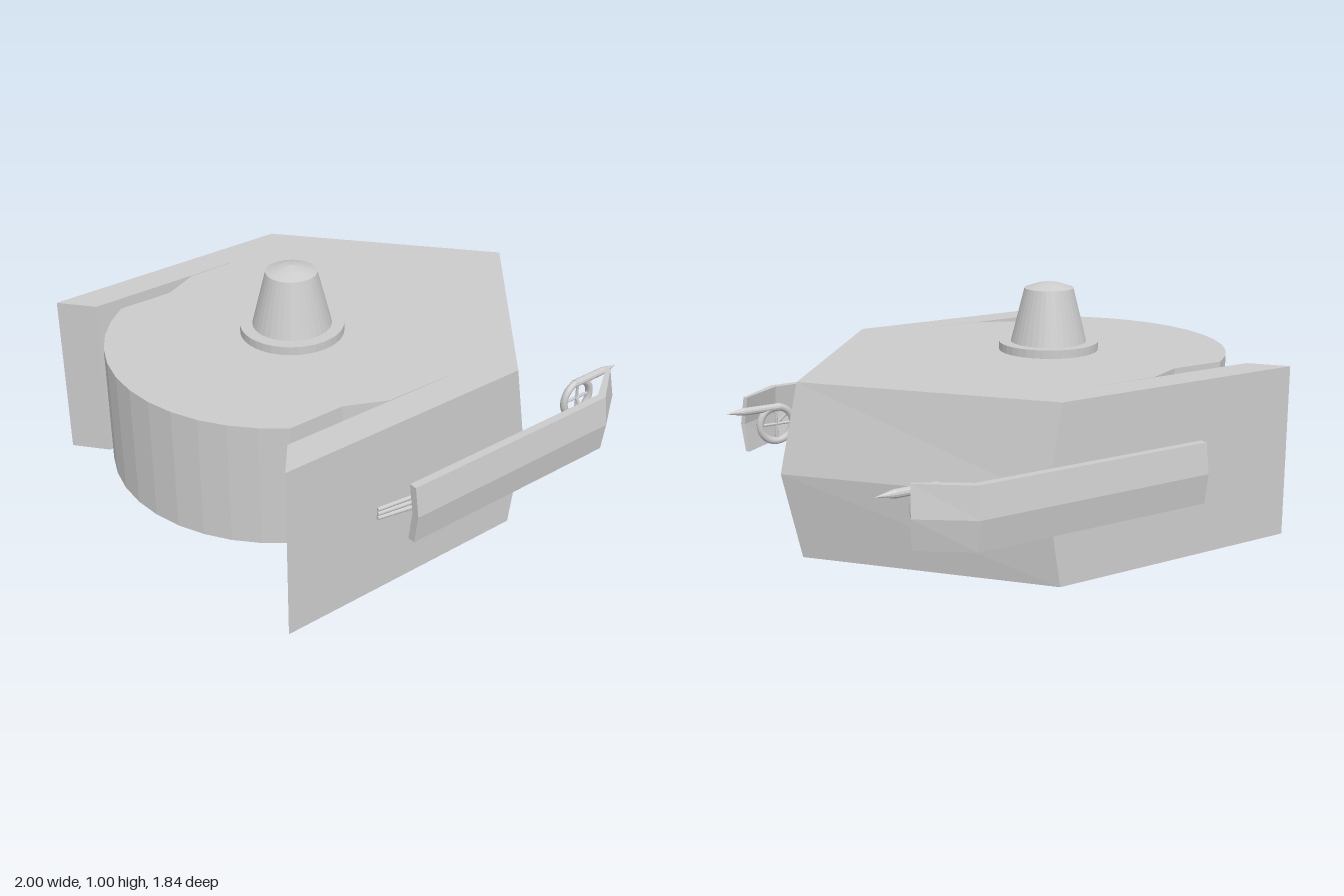
import * as THREE from 'three';

const material = new THREE.MeshStandardMaterial({ color: 0xcccccc, flatShading: true });
const smooth = new THREE.MeshStandardMaterial({ color: 0xcccccc });
const V = (x, y, z) => new THREE.Vector3(x, y, z);

function add(parent, name, geometry, mat = material) {
  const mesh = new THREE.Mesh(geometry, mat);
  mesh.name = name;
  parent.add(mesh);
  return mesh;
}

// Upright slab from a plan outline of [x, z]; rule may move its vertices
function slab(outline, y0, y1, rule) {
  const shape = new THREE.Shape(outline.map(([x, z]) => new THREE.Vector2(x, -z)));
  const g = new THREE.ExtrudeGeometry(shape, { depth: y1 - y0, steps: rule ? 2 : 1, bevelEnabled: false });
  g.rotateX(-Math.PI / 2).translate(0, y0, 0);
  if (rule) {
    const p = g.attributes.position, v = new THREE.Vector3();
    for (let i = 0; i < p.count; i++) {
      rule(v.fromBufferAttribute(p, i));
      p.setXYZ(i, v.x, v.y, v.z);
    }
  }
  g.computeVertexNormals();
  return g;
}

// Rod between two points
function rod(a, b, r) {
  const d = b.clone().sub(a);
  const g = new THREE.CylinderGeometry(r, r, d.length(), 10);
  g.applyQuaternion(new THREE.Quaternion().setFromUnitVectors(V(0, 1, 0), d.normalize()));
  return g.translate((a.x + b.x) / 2, (a.y + b.y) / 2, (a.z + b.z) / 2);
}

// Half outline followed by its mirror across z = 0
const mirrored = (half) => [...half, ...half.slice().reverse().map(([x, z]) => [x, -z])];

// Outer armour: wedge bow with a knuckle at half height, and two side plates
function hull() {
  const outline = [
    [0.92, 0], [0.24, 0.8], [-0.87, 0.8], [-0.76, 0.665], [0.06, 0.665], [0.64, 0],
    [0.06, -0.665], [-0.76, -0.665], [-0.87, -0.8], [0.24, -0.8],
  ];
  return slab(outline, 0, 0.71, (v) => {
    const onBow = v.x > 0.8 || (v.x > 0.2 && Math.abs(v.z) > 0.79);
    if (onBow && Math.abs(v.y - 0.355) < 0.01) v.x += v.x > 0.8 ? 0.08 : 0.06;
  });
}

// Inner body with the rounded stern
function innerBody() {
  const half = [[0.06, 0.665], [-0.29, 0.66], [-0.45, 0.585]];
  const R = 0.707, span = 0.977, n = 6;
  for (let i = 0; i < n; i++) {
    const a = span * (1 - i / n);
    half.push([-0.293 - R * Math.cos(a), R * Math.sin(a)]);
  }
  const back = half.slice().reverse().map(([x, z]) => [x, -z]);
  return slab([[0.64, 0], ...half, [-1, 0], ...back], 0.2, 0.71);
}

// Side arm with its struts, ring and pointed probe
function sideArm(s) {
  const group = new THREE.Group();
  group.name = s > 0 ? 'leftArm' : 'rightArm';
  const mid = s > 0 ? 0.357 : 0.372;
  const shift = s > 0 ? 0 : 0.06;

  // Bent plate, pushed outward along its middle
  const plan = [[-0.36, 0.867], [0.645, 0.867], [0.83, 0.745], [0.842, 0.758], [0.655, 0.9], [-0.36, 0.9]];
  add(group, 'armPlate', slab(plan.map(([x, z]) => [x, z * s]), mid - 0.122, mid + 0.122, (v) => {
    if (Math.abs(v.y - mid) < 0.01) {
      v.z += 0.018 * s;
      if (v.x > 0.8) v.x += 0.01;
    }
  }));

  // Rear struts to the hull
  for (const k of [-1, 0, 1]) {
    add(group, 'rearStrut', rod(V(-0.46 + shift, mid + k * 0.019, 0.805 * s),
      V(-0.06 + shift, mid + k * 0.03, 0.868 * s), 0.009), smooth);
  }

  // Front strut to the ring hub
  const hub = V(0.72, mid, 0.695 * s);
  add(group, 'frontStrut', rod(V(0.59, mid, 0.868 * s), hub, 0.007), smooth);

  // Ring with spokes
  add(group, 'ring', new THREE.TorusGeometry(0.076, 0.016, 10, 32).translate(hub.x, hub.y, hub.z), smooth);
  for (let i = 0; i < 4; i++) {
    const a = i * Math.PI / 2;
    add(group, 'spoke', rod(hub, V(hub.x + 0.076 * Math.cos(a), hub.y + 0.076 * Math.sin(a), hub.z), 0.006), smooth);
  }

  // Pointed probe above the ring
  const profile = [[0, 0], [0.017, 0], [0.017, 0.17], [0.013, 0.19], [0, 0.25]];
  const probe = add(group, 'probe', new THREE.LatheGeometry(profile.map((p) => new THREE.Vector2(...p)), 12));
  probe.rotation.z = -Math.PI / 2;
  probe.position.set(0.7, mid + 0.074, hub.z);
  return group;
}

export function createModel() {
  const model = new THREE.Group();
  model.name = 'vehicle';
  add(model, 'hull', hull());
  add(model, 'innerBody', innerBody());

  // Turret: flange, tapering drum and shallow cap
  const profile = [[0, 0.71], [0.21, 0.71], [0.21, 0.745], [0.16, 0.745], [0.103, 0.972], [0.05, 0.99], [0, 1]];
  add(model, 'turret', new THREE.LatheGeometry(profile.map((p) => new THREE.Vector2(...p)), 36))
    .position.set(-0.24, 0, 0);

  for (const s of [1, -1]) model.add(sideArm(s));
  return model;
}
